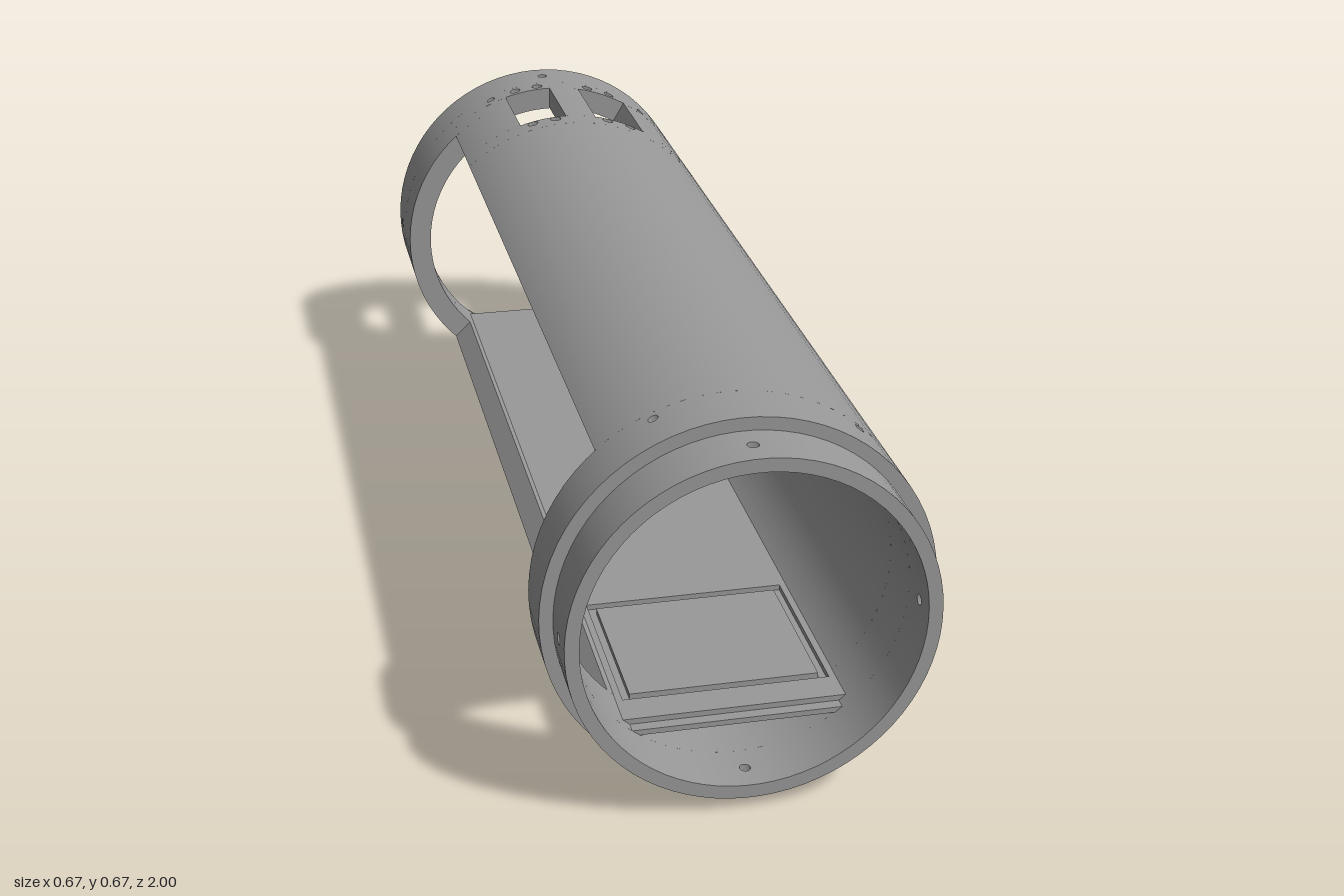
import * as THREE from 'three';
import { mergeGeometries } from 'three/addons/utils/BufferGeometryUtils.js';

const R_OUT = 0.333, R_IN = 0.286, R_JOINT = 0.31, CENTRE_Y = 0.333;
const rad = THREE.MathUtils.degToRad;

// Wrap a flat slab (x = angle from the top towards +x, y = -z, z = thickness) around the tube axis.
function bend(geometry, rIn) {
  const p = geometry.attributes.position, n = geometry.attributes.normal;
  for (let i = 0; i < p.count; i++) {
    const s = Math.sin(p.getX(i)), c = Math.cos(p.getX(i)), r = rIn + p.getZ(i);
    const t = n.getX(i), a = n.getY(i), o = n.getZ(i);
    p.setXYZ(i, r * s, CENTRE_Y + r * c, -p.getY(i));
    n.setXYZ(i, t * c + o * s, -t * s + o * c, -a);
  }
  return geometry;
}

// One length of tube wall: spans are [from, to] degrees, holes are [degrees, z, radius].
function wallBand(z0, z1, rIn, rOut, spans, holes = []) {
  const strips = [];
  for (const [a0, a1] of spans) {
    const inside = holes.filter(([a]) => a > a0 && a < a1);
    const stops = [a0, a1];
    inside.forEach(([a]) => stops.push(a - 2.4, a + 2.4));
    stops.sort((a, b) => a - b);
    const edges = [a0];
    for (let i = 1; i < stops.length; i++) {
      const gap = stops[i] - stops[i - 1];
      if (gap < 1e-6) continue;
      const steps = Math.ceil(gap / 4.9);
      for (let k = 1; k <= steps; k++) edges.push(stops[i - 1] + (gap * k) / steps);
    }
    for (let i = 1; i < edges.length; i++) {
      const lo = rad(edges[i - 1]), hi = rad(edges[i]);
      const shape = new THREE.Shape();
      shape.moveTo(lo, -z1).lineTo(hi, -z1).lineTo(hi, -z0).lineTo(lo, -z0).closePath();
      for (const [a, z, r] of inside) {
        if (a < edges[i - 1] || a > edges[i]) continue;
        shape.holes.push(new THREE.Path().absellipse(rad(a), -z, r / rOut, r, 0, Math.PI * 2, true));
      }
      const slab = new THREE.ExtrudeGeometry(shape, { depth: rOut - rIn, bevelEnabled: false, curveSegments: 8 });
      strips.push(bend(slab, rIn));
    }
  }
  return mergeGeometries(strips);
}

function rectangle(Type, x0, x1, z0, z1) {
  return new Type().moveTo(x0, -z1).lineTo(x1, -z1).lineTo(x1, -z0).lineTo(x0, -z0).closePath();
}

export function createModel() {
  const grey = new THREE.MeshStandardMaterial({ color: 0x999999 });
  grey.name = 'plain grey';
  const model = new THREE.Group();
  model.name = 'tubeBody';
  const add = (name, geometry) => {
    const mesh = new THREE.Mesh(geometry, grey);
    mesh.name = name;
    model.add(mesh);
    return mesh;
  };

  // Angles of the side opening and the two top windows
  const OPEN_TOP = -41.5, OPEN_LOW = 225;
  const full = [[-45, 315]];
  const aroundOpening = [[OPEN_TOP, OPEN_LOW]];
  const windows = [[-17.5, 0], [11.3, 30.7]];
  const splitByWindows = (from, to) => [[from, windows[0][0]], [windows[0][1], windows[1][0]], [windows[1][1], to]];

  // Screw holes
  const jointHoles = (z) => [0, 90, 180, 270].map((a) => [a, z, 0.01]);
  const windowHoles = (z) => [-13, -4.3, 15.7, 24.9].map((a) => [a, z, 0.0115]);
  const sideHoles = (z) => [-23, 40].map((a) => [a, z, 0.009]);
  const bottomHoles = (z) => [164, 196].map((a) => [a, z, 0.009]);

  // Tube wall, from the rear socket to the front spigot
  add('rearSocket', wallBand(-1, -0.9, R_JOINT, R_OUT, full, jointHoles(-0.95)));
  add('rearCollar', wallBand(-0.9, -0.855, R_IN, R_OUT, full, [...windowHoles(-0.877), ...sideHoles(-0.88)]));
  add('windowWallRear', wallBand(-0.855, -0.81, R_IN, R_OUT, splitByWindows(-45, 315)));
  add('windowWallFront', wallBand(-0.81, -0.65, R_IN, R_OUT, splitByWindows(OPEN_TOP, OPEN_LOW)));
  add('screwWall', wallBand(-0.65, -0.6, R_IN, R_OUT, aroundOpening, [...windowHoles(-0.637), ...bottomHoles(-0.63)]));
  add('mainWall', wallBand(-0.6, 0.8, R_IN, R_OUT, aroundOpening));
  add('frontCollar', wallBand(0.8, 0.9, R_IN, R_OUT, full, sideHoles(0.82)));
  add('frontSpigot', wallBand(0.9, 1, R_IN, R_JOINT, full, jointHoles(0.95)));

  // Floor: a base layer, and a top layer with a groove around an inset lid
  const layer = (name, shape, y) => {
    const geometry = new THREE.ExtrudeGeometry(shape, { depth: 0.01, bevelEnabled: false });
    geometry.rotateX(-Math.PI / 2);
    add(name, geometry).position.y = y;
  };
  layer('floorBase', rectangle(THREE.Shape, -0.19, 0.19, -0.9, 0.9), 0.101);
  const top = rectangle(THREE.Shape, -0.2, 0.2, -0.88, 0.88);
  top.holes.push(rectangle(THREE.Path, -0.18, 0.18, 0.5, 0.82));
  layer('floorTop', top, 0.111);
  layer('floorLid', rectangle(THREE.Shape, -0.165, 0.165, 0.515, 0.805), 0.111);

  return model;
}
